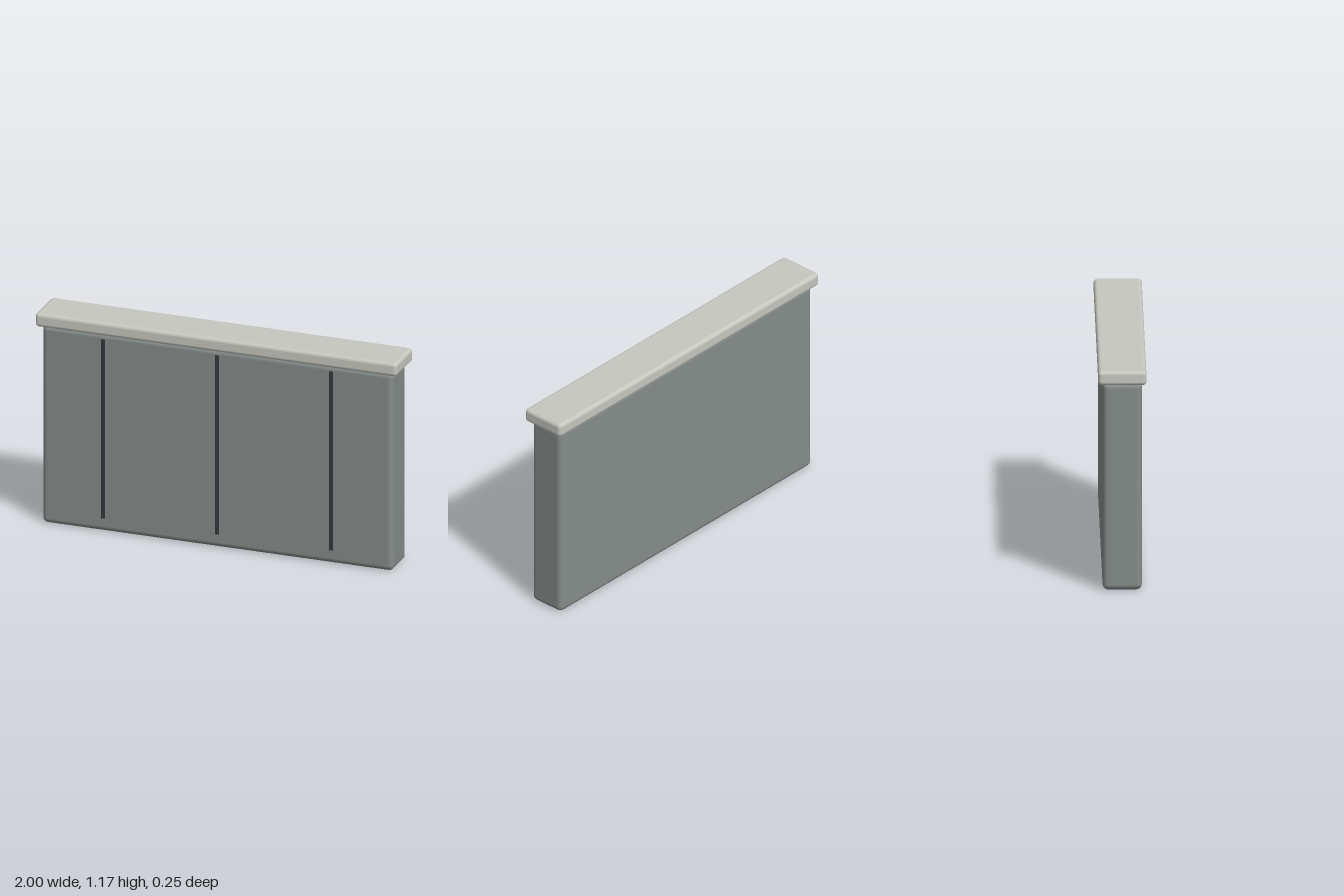
import * as THREE from 'three';
import { RoundedBoxGeometry } from 'three/addons/geometries/RoundedBoxGeometry.js';

const material = (name, color) => {
  const m = new THREE.MeshStandardMaterial({ color });
  m.name = name;
  return m;
};

export function createModel() {
  const group = new THREE.Group();
  group.name = 'wallPanel';
  const concrete = material('concreteGrey', 0x858c8a);
  const stone = material('paleStone', 0xc6c7bf);
  const dark = material('darkJoint', 0x343a40);

  const add = (name, geometry, mat, x, y, z) => {
    const mesh = new THREE.Mesh(geometry, mat);
    mesh.name = name;
    mesh.position.set(x, y, z);
    group.add(mesh);
  };

  // Wall slab; its rounded top tucks slightly into the coping
  add('wallBody', new RoundedBoxGeometry(1.94, 1.106, 0.204, 4, 0.03), concrete, 0, 0.553, 0);

  // Overhanging coping along the top
  add('coping', new RoundedBoxGeometry(2, 0.075, 0.25, 4, 0.02), stone, 0, 1.1375, 0);

  // Three vertical joint strips on the front face
  const strip = new THREE.BoxGeometry(0.02, 1, 0.008);
  [-0.63, 0, 0.63].forEach((x, i) => add(`jointStrip${i + 1}`, strip, dark, x, 0.575, 0.103));

  return group;
}
